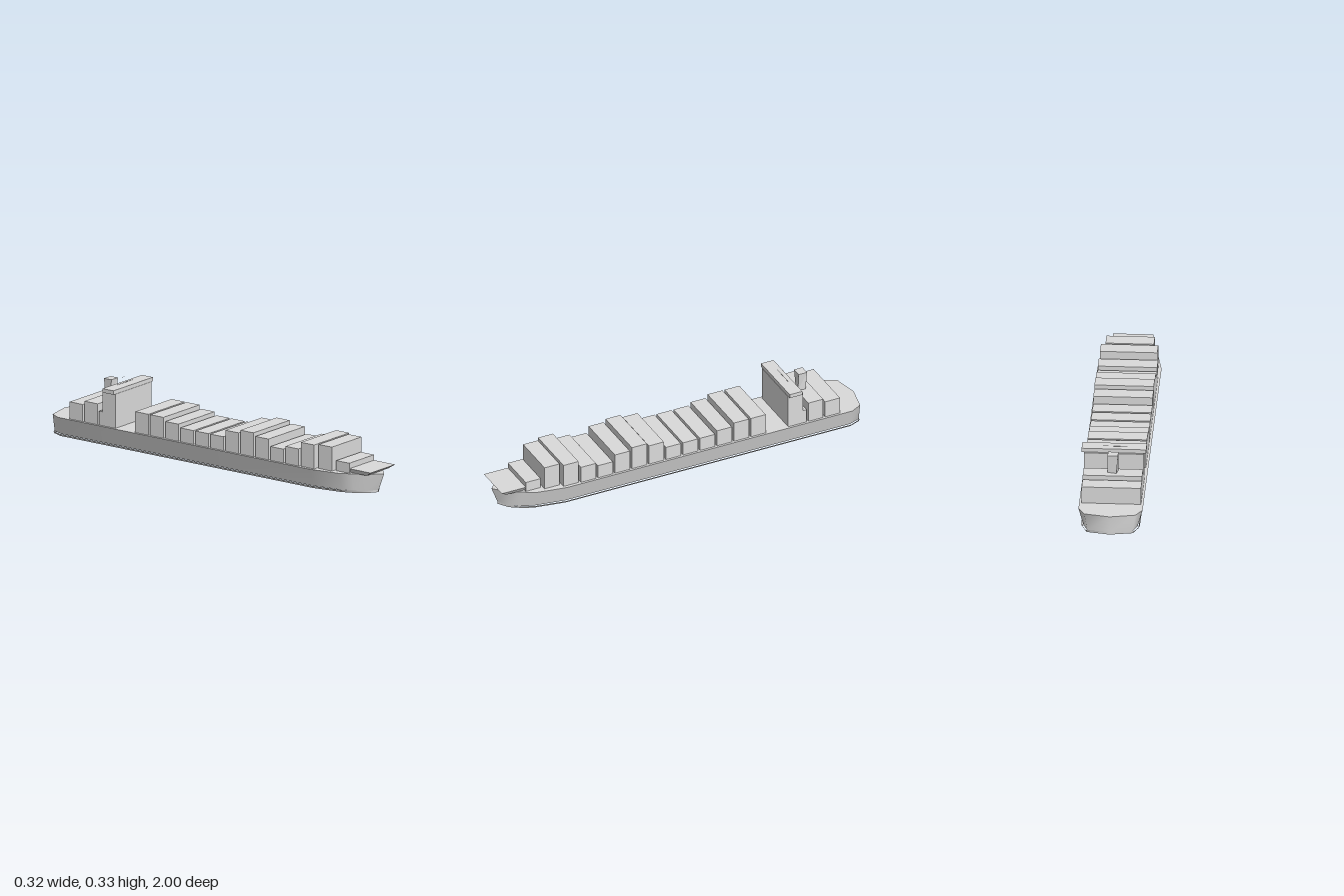
import * as THREE from 'three';

// Half outlines [x, z] from bow to stern, mirrored into full loops below
const DECK = [[0, 1], [0.06, 0.945], [0.1, 0.875], [0.132, 0.82], [0.159, 0.66], [0.159, 0],
  [0.159, -0.5], [0.159, -0.915], [0.127, -0.973], [0, -1]];
const BASE = [[0, 0.965], [0.05, 0.93], [0.085, 0.875], [0.108, 0.82], [0.134, 0.66], [0.134, 0],
  [0.134, -0.5], [0.134, -0.915], [0.112, -0.972], [0, -0.995]];

function ring(half, scaleX = 1) {
  const left = half.map(([x, z]) => [x * scaleX, z]);
  const right = left.slice(0, -1).reverse().map(([x, z]) => [-x, z]);
  return left.concat(right);
}

// Smooth outward wall between two rings, with a sharp seam at the bow
function wall(low, yLow, high, yHigh) {
  const pos = [], index = [];
  low.forEach(([x, z], i) => {
    pos.push(x, yLow, z, high[i][0], yHigh, high[i][1]);
    if (i === low.length - 1) return;
    const a = 2 * i, b = a + 2, c = a + 3, d = a + 1;
    index.push(a, b, c, a, c, d);
  });
  const g = new THREE.BufferGeometry();
  g.setAttribute('position', new THREE.Float32BufferAttribute(pos, 3));
  g.setIndex(index);
  g.computeVertexNormals();
  return g;
}

// Flat plate filling a ring, facing up
function plate(loop, y) {
  const shape = new THREE.Shape(loop.slice(0, -1).map(([x, z]) => new THREE.Vector2(x, -z)));
  return new THREE.ShapeGeometry(shape).rotateX(-Math.PI / 2).translate(0, y, 0);
}

// Box whose lower vertices are moved by a rule
function taperedBox(w, h, d, rule) {
  const g = new THREE.BoxGeometry(w, h, d).toNonIndexed();
  const p = g.attributes.position;
  for (let i = 0; i < p.count; i++) {
    if (p.getY(i) < 0) {
      const [x, z] = rule(p.getX(i), p.getZ(i));
      p.setX(i, x);
      p.setZ(i, z);
    }
  }
  g.computeVertexNormals();
  return g;
}

export function createModel() {
  const model = new THREE.Group();
  model.name = 'containerShip';
  // Double-sided because the hull is an open shell
  const grey = new THREE.MeshStandardMaterial({ color: 0xdadada, side: THREE.DoubleSide });
  grey.name = 'light grey';

  const add = (name, geometry) => {
    const mesh = new THREE.Mesh(geometry, grey);
    mesh.name = name;
    model.add(mesh);
    return mesh;
  };
  const box = (name, halfX, y0, y1, z0, z1, x = 0) =>
    add(name, new THREE.BoxGeometry(2 * halfX, y1 - y0, z1 - z0))
      .position.set(x, (y0 + y1) / 2, (z0 + z1) / 2);

  // Hollow hull, open at the bottom
  const deck = ring(DECK);
  add('hull', wall(ring(BASE), 0.01, deck, 0.1));
  add('deck', plate(deck, 0.1));
  add('keelBand', wall(ring(BASE, 1.03), 0, ring(BASE, 1.085), 0.012));

  // Container rows ahead of the bridge, stern to bow
  const tops = [0.207, 0.207, 0.188, 0.171, 0.171, 0.171, 0.207, 0.223, 0.207, 0.171, 0.188, 0.223, 0.223, 0.152];
  const narrow = { 11: 0.142, 12: 0.12, 13: 0.1 };
  tops.forEach((top, i) => {
    const z = -0.401 + i * 0.0938;
    box('containerRow', narrow[i] ?? 0.147, 0.1, top, z - 0.041, z + 0.041);
  });

  // Container rows behind the bridge
  box('containerRow', 0.147, 0.1, 0.207, -0.759, -0.677);
  box('containerRow', 0.147, 0.1, 0.188, -0.852, -0.77);

  // Bow platform with raked front and sides
  const bow = taperedBox(0.2, 0.023, 0.14, (x, z) => [x * 0.86, z > 0 ? z - 0.035 : z]);
  add('bowPlatform', bow).position.set(0, 0.1125, 0.922);

  // Bridge with its step, wings and roof bars
  box('bridgeTower', 0.147, 0.1, 0.275, -0.648, -0.566);
  box('bridgeStep', 0.147, 0.1, 0.171, -0.668, -0.648);
  box('bridgeWings', 0.16, 0.275, 0.295, -0.637, -0.568);
  box('roofBar', 0.062, 0.2985, 0.2995, -0.613, -0.611, -0.007);
  box('mastBar', 0.012, 0.3285, 0.329, -0.613, -0.611, -0.02);

  // Funnel, slightly twisted and narrower at its foot
  const twist = 0.2;
  const funnel = taperedBox(0.052, 0.1, 0.046, (x, z) => [
    0.85 * (x * Math.cos(twist) - z * Math.sin(twist)),
    0.85 * (x * Math.sin(twist) + z * Math.cos(twist)),
  ]);
  add('funnel', funnel).position.set(0, 0.253, -0.707);

  return model;
}
